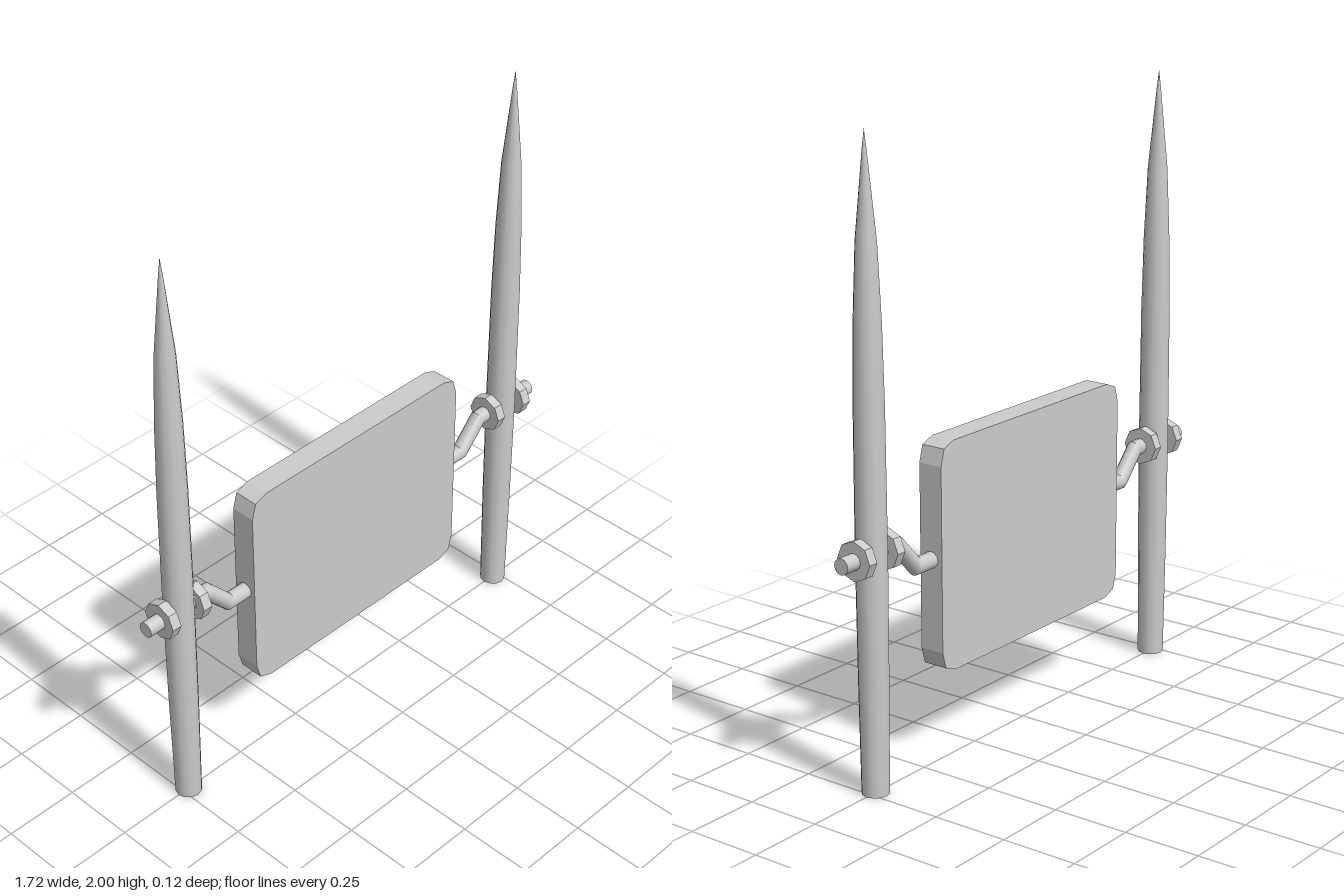
import * as THREE from 'three';
import { toCreasedNormals } from 'three/addons/utils/BufferGeometryUtils.js';

const grey = new THREE.MeshStandardMaterial({ color: 0xcccccc });
const greyFlat = new THREE.MeshStandardMaterial({ color: 0xcccccc, flatShading: true });
const greyOpen = new THREE.MeshStandardMaterial({ color: 0xcccccc, side: THREE.DoubleSide });

const ROD_Y = 0.752;
const POLE_X = 0.728;

function mesh(name, geometry, material) {
  const m = new THREE.Mesh(geometry, material);
  m.name = name;
  return m;
}

// Plate with clipped, slightly rounded corners
function panelGeometry(w, h, depth, cx, cy) {
  const s = new THREE.Shape();
  const x = w / 2, y = h / 2;
  s.moveTo(-x + cx, -y);
  s.lineTo(x - cx, -y);
  s.quadraticCurveTo(x, -y, x, -y + cy);
  s.lineTo(x, y - cy);
  s.quadraticCurveTo(x, y, x - cx, y);
  s.lineTo(-x + cx, y);
  s.quadraticCurveTo(-x, y, -x, y - cy);
  s.lineTo(-x, -y + cy);
  s.quadraticCurveTo(-x, -y, -x + cx, -y);
  const g = new THREE.ExtrudeGeometry(s, { depth, bevelEnabled: false, curveSegments: 2 });
  return g.translate(0, 0, -depth / 2);
}

// Round bar following a path in the xy plane, with mitred bends
function bentRodGeometry(path, radius, sides) {
  const n = path.length - 1;
  const g = new THREE.CylinderGeometry(radius, radius, 1, sides, n);
  const pos = g.attributes.position;
  const dirs = path.slice(1).map((p, i) => path[i].clone().sub(p).normalize());
  const mitres = path.map((p, k) => {
    const a = dirs[Math.max(k - 1, 0)], b = dirs[Math.min(k, n - 1)];
    const d = a.clone().add(b).normalize();
    return new THREE.Vector2(d.y, -d.x).divideScalar(d.dot(a));
  });
  for (let i = 0; i < pos.count; i++) {
    const k = Math.round((0.5 - pos.getY(i)) * n);
    const off = pos.getX(i);
    pos.setXY(i, path[k].x + mitres[k].x * off, path[k].y + mitres[k].y * off);
  }
  return toCreasedNormals(g, 0.7);
}

function createSide(name) {
  const side = new THREE.Group();
  side.name = name;

  // Tapered pole, open at the foot and pointed at the top
  const profile = [
    [0.043, 0], [0.047, 0.36], [0.049, 0.75], [0.047, 1.2], [0.042, 1.45],
    [0.032, 1.68], [0.007, 1.94], [0, 2],
  ].map(([r, y]) => new THREE.Vector2(r, y));
  const pole = mesh('pole', new THREE.LatheGeometry(profile, 12), greyOpen);
  pole.position.x = POLE_X;
  side.add(pole);

  // Cranked rod running from the panel through the pole
  const path = [[0.862, ROD_Y], [0.615, ROD_Y], [0.53, 0.66], [0.44, 0.66]]
    .map(([x, y]) => new THREE.Vector2(x, y));
  side.add(mesh('crankedRod', bentRodGeometry(path, 0.026, 12), grey));

  // Octagonal nuts clamping the pole
  for (const [nutName, x] of [['innerNut', 0.665], ['outerNut', 0.791]]) {
    const nut = mesh(nutName, new THREE.CylinderGeometry(0.062, 0.062, 0.033, 8), greyFlat);
    nut.rotation.z = -Math.PI / 2;
    nut.position.set(x, ROD_Y, 0);
    side.add(nut);
  }
  return side;
}

export function createModel() {
  const model = new THREE.Group();
  model.name = 'panelBetweenPoles';

  const panel = mesh('panel', panelGeometry(0.91, 0.73, 0.083, 0.06, 0.07), greyFlat);
  panel.position.y = 0.663;
  model.add(panel);

  // The two sides are the same assembly turned half round
  const right = createSide('rightSide');
  right.rotation.y = Math.PI;
  model.add(createSide('leftSide'), right);
  return model;
}
